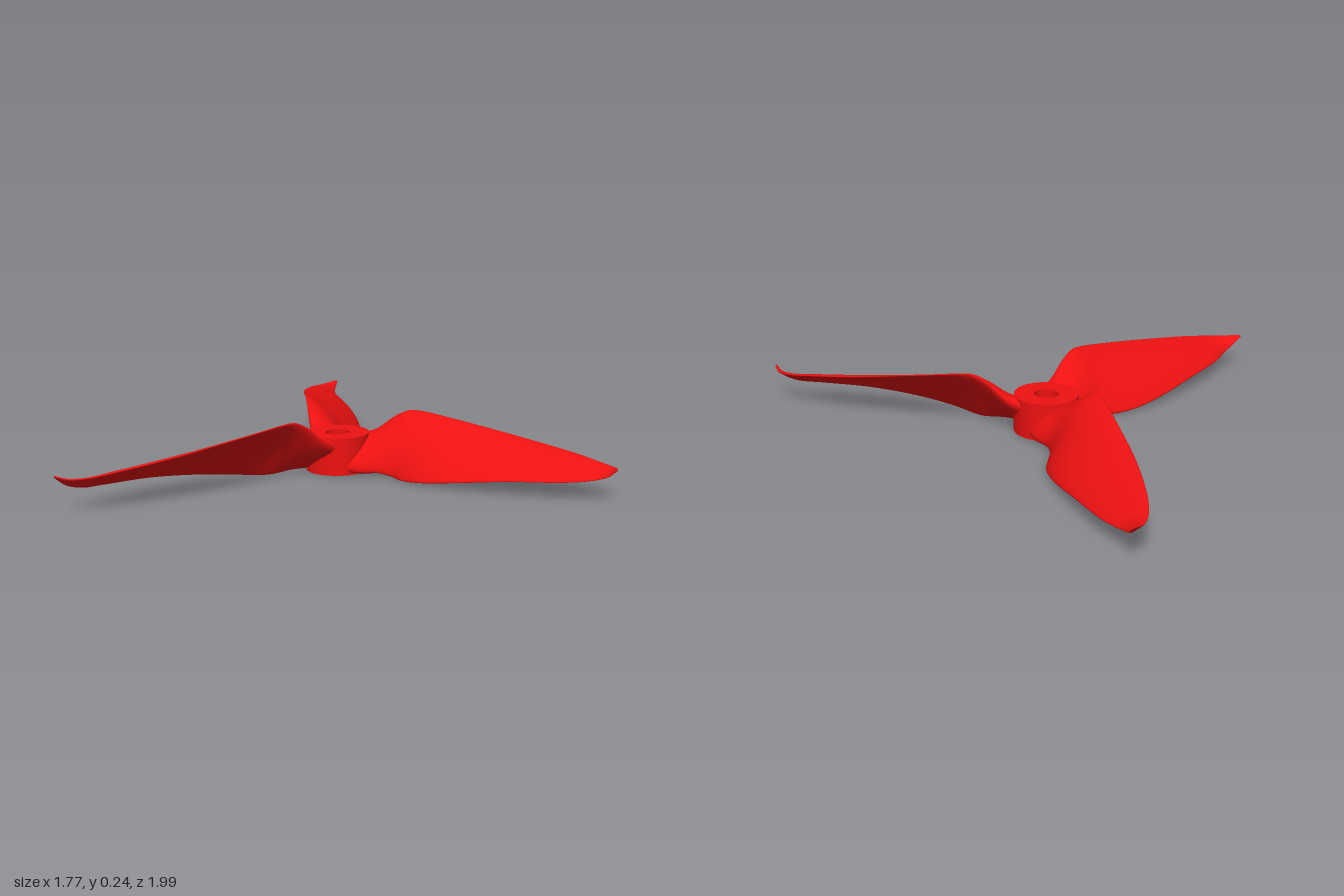
import * as THREE from 'three';
import { toCreasedNormals } from 'three/addons/utils/BufferGeometryUtils.js';

// Blade stations: radius, upper edge (z, y), lower edge (z, y), thickness
const STATIONS = [
  [0.06, -0.095, 0.12, 0.09, 0.02, 0.09],
  [0.13, -0.1, 0.148, 0.078, 0.012, 0.075],
  [0.2, -0.107, 0.205, 0.052, 0.012, 0.055],
  [0.26, -0.113, 0.234, 0.056, 0.005, 0.04],
  [0.31, -0.116, 0.234, 0.08, 0.001, 0.032],
  [0.4, -0.117, 0.222, 0.113, 0.01, 0.026],
  [0.55, -0.112, 0.2, 0.127, 0.03, 0.022],
  [0.75, -0.098, 0.17, 0.112, 0.053, 0.02],
  [0.95, -0.065, 0.142, 0.08, 0.064, 0.018],
  [1.05, -0.035, 0.127, 0.05, 0.075, 0.016],
  [1.11, 0.0, 0.123, 0.048, 0.095, 0.013],
  [1.143, 0.045, 0.128, 0.06, 0.124, 0.008],
];

// Lofts a twisted, lightly cambered aerofoil along +x
function bladeGeometry(rings = 88, sides = 32) {
  const curve = (pick) => new THREE.CatmullRomCurve3(STATIONS.map(pick));
  const upper = curve((s) => new THREE.Vector3(s[0], s[2], s[1]));
  const lower = curve((s) => new THREE.Vector3(s[0], s[4], s[3]));
  const thick = curve((s) => new THREE.Vector3(s[0], s[5], 0));
  const pos = [];
  const index = [];
  const normal = new THREE.Vector3();
  for (let i = 0; i <= rings; i++) {
    const t = i / rings;
    const a = upper.getPoint(t);
    const b = lower.getPoint(t);
    const half = thick.getPoint(t).y / 2;
    const chord = Math.hypot(b.y - a.y, b.z - a.z);
    normal.set(0, b.z - a.z, a.y - b.y).normalize();
    const camber = 0.05 * chord * Math.min(1, t * 4);
    for (let j = 0; j < sides; j++) {
      const ang = (j / sides) * Math.PI * 2;
      const along = (1 - Math.cos(ang)) / 2;
      const lift = half * Math.sin(ang) + camber * Math.sin(ang) ** 2;
      const p = a.clone().lerp(b, along).addScaledVector(normal, lift);
      pos.push(p.x, p.y, p.z);
      if (i < rings) {
        const k = i * sides + j;
        const n = i * sides + ((j + 1) % sides);
        index.push(k, n, k + sides, n, n + sides, k + sides);
      }
    }
  }
  // Close root and tip
  const last = rings * sides;
  for (let j = 1; j < sides - 1; j++) {
    index.push(0, j + 1, j);
    index.push(last, last + j, last + j + 1);
  }
  const geo = new THREE.BufferGeometry();
  geo.setAttribute('position', new THREE.Float32BufferAttribute(pos, 3));
  geo.setIndex(index);
  geo.computeVertexNormals();
  return geo;
}

export function createModel() {
  const model = new THREE.Group();
  model.name = 'propeller';
  const red = new THREE.MeshStandardMaterial({ color: 0xee1111 });

  // Hub: a ring with a shaft hole
  const [inner, outer, height] = [0.047, 0.124, 0.146];
  const profile = [[inner, 0], [outer, 0], [outer, height], [inner, height], [inner, 0]]
    .map(([r, y]) => new THREE.Vector2(r, y));
  const hub = new THREE.Mesh(toCreasedNormals(new THREE.LatheGeometry(profile, 64), 0.6), red);
  hub.name = 'hub';
  model.add(hub);

  // Three equal blades around the hub
  const geo = bladeGeometry();
  for (let i = 0; i < 3; i++) {
    const blade = new THREE.Mesh(geo, red);
    blade.name = `blade${i + 1}`;
    blade.rotation.y = (i * Math.PI * 2) / 3;
    model.add(blade);
  }

  // The hub sits off the middle of the overall bounds
  model.children.forEach((part) => part.position.set(-0.262, 0, 0.016));
  return model;
}
